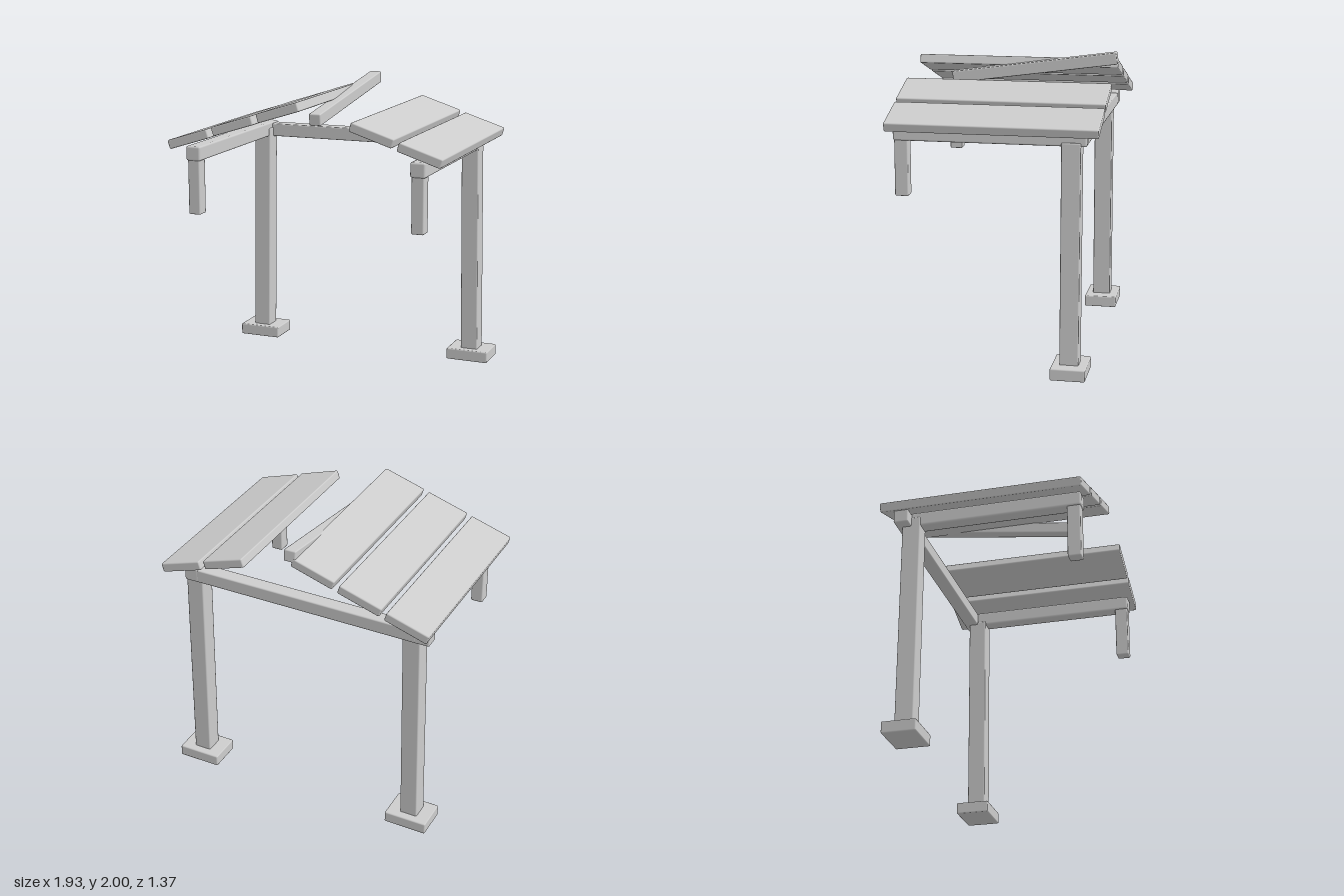
import * as THREE from 'three';
import { RoundedBoxGeometry } from 'three/addons/geometries/RoundedBoxGeometry.js';

export function createModel() {
  const group = new THREE.Group();
  const wood = new THREE.MeshStandardMaterial({ color: 0xcccccc });
  wood.name = 'plain grey';

  // Timber block with a small chamfer on every edge
  function timber(name, size, position, rotation = [0, 0, 0], bevel = 0.009) {
    const mesh = new THREE.Mesh(new RoundedBoxGeometry(...size, 1, bevel), wood);
    mesh.name = name;
    mesh.position.set(...position);
    mesh.rotation.set(...rotation);
    group.add(mesh);
  }

  for (const [side, s] of [['left', 1], ['right', -1]]) {
    // Foot block and slightly leaning rear post
    const top = s > 0 ? 1.535 : 1.57;
    timber(side + 'Foot', [0.3, 0.08, 0.23], [s * 0.81, 0.04, -0.5]);
    timber(side + 'RearPost', [0.122, top - 0.06, 0.125],
      [s * 0.801, (top + 0.06) / 2, -0.497], [0, 0, s * 0.014]);

    // Broken-off front post and the beam running front to back
    timber(side + 'FrontPost', [0.085, 0.42, 0.09], [s * 0.79, 1.355, 0.605]);
    timber(side + 'SideBeam', [0.104, 0.1, 1.255], [s * 0.79, 1.56, 0.03], [0, 0, 0], 0.014);

    // Sloping roof planks, one missing on the left
    const planks = [[0.811, 1.66], [0.487, 1.767], [0.161, 1.873]];
    planks.slice(0, s > 0 ? 2 : 3).forEach(([x, y], i) =>
      timber(side + 'RoofPlank' + (i + 1), [0.305, 0.062, 1.37], [s * x, y, 0], [0, 0, -s * 0.308]));
  }

  // Rear cross beam
  timber('rearBeam', [1.77, 0.092, 0.1], [-0.045, 1.554, -0.545], [0, 0, 0.004]);

  // Loose ridge beam, raised at the back
  timber('ridgeBeam', [0.083, 0.08, 1.135], [0, 1.88, -0.118], [0.138, 0, 0]);

  return group;
}
